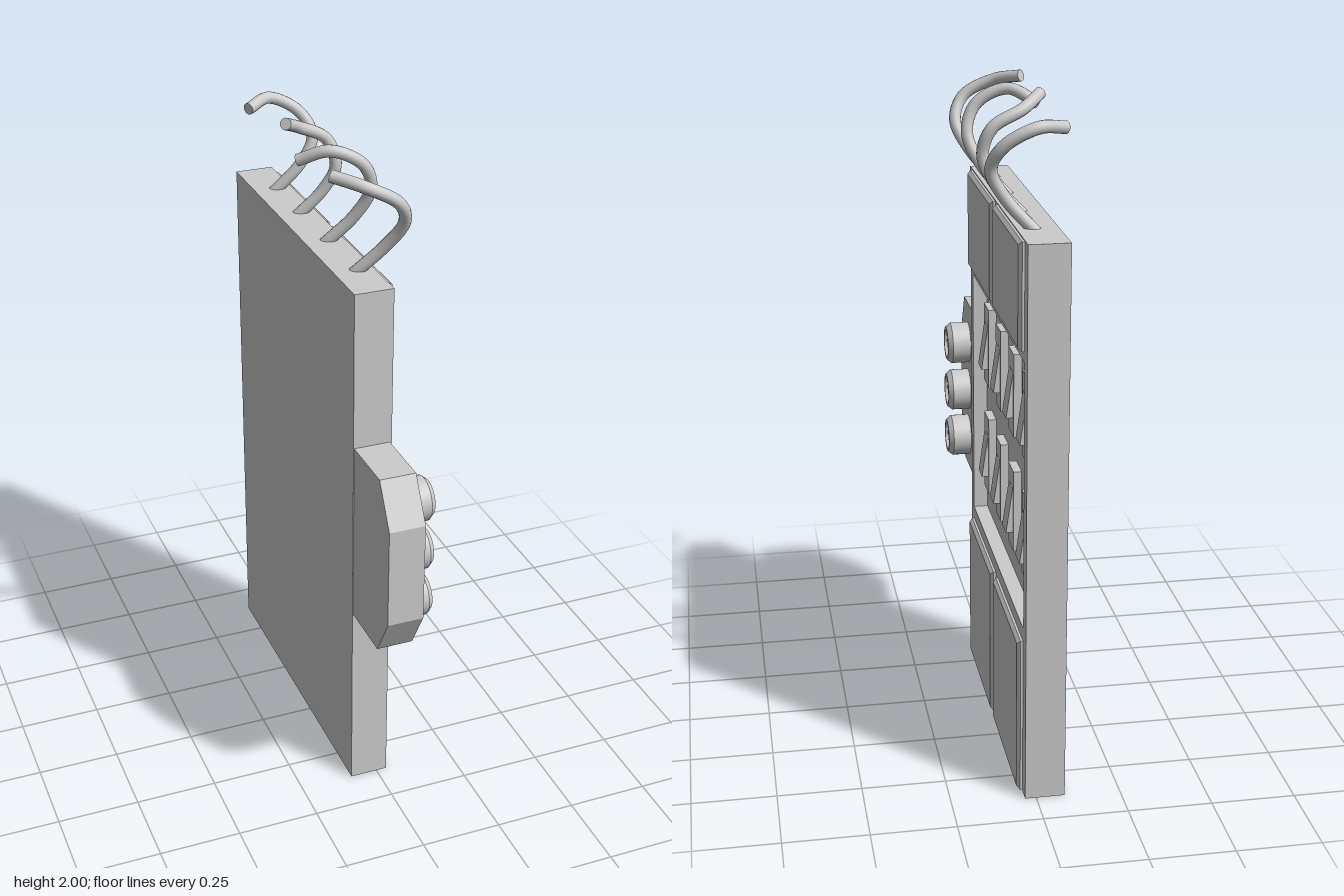
import * as THREE from 'three';
import { toCreasedNormals } from 'three/addons/utils/BufferGeometryUtils.js';

const material = new THREE.MeshStandardMaterial({ color: 0xcccccc });

// outline given as [z, y] pairs; the extrusion runs along +x
const outline = (pts, Type = THREE.Shape) => new Type(pts.map(([z, y]) => new THREE.Vector2(-z, y)));
const rect = (z0, z1, y0, y1) => [[z1, y0], [z0, y0], [z0, y1], [z1, y1]];

function slab(shape, x0, x1, bevel = 0) {
  const g = new THREE.ExtrudeGeometry(shape, {
    depth: x1 - x0 - bevel, steps: 1, bevelEnabled: bevel > 0,
    bevelSize: bevel, bevelOffset: -bevel, bevelThickness: bevel, bevelSegments: 1,
  });
  return g.rotateY(Math.PI / 2).translate(x0, 0, 0);
}

export function createModel() {
  const model = new THREE.Group();
  const add = (name, geometry, parent = model) => {
    const mesh = new THREE.Mesh(geometry, material);
    mesh.name = name;
    parent.add(mesh);
    return mesh;
  };
  const BACK = -0.085, FLOOR = -0.012, FACE = 0.033;

  // board: solid back plus a frame around the recess
  add('boardBack', slab(outline(rect(-0.635, 0.375, 0, 1.67)), BACK, FLOOR));
  const frame = outline(rect(-0.635, 0.375, 0, 1.67));
  frame.holes.push(outline(rect(-0.59, 0.33, 0.53, 1.33), THREE.Path));
  add('boardFrame', slab(frame, FLOOR, FACE));

  // raised cover panels with a small chamfer
  for (const [z0, z1] of [[-0.11, 0.33], [-0.59, -0.15]]) {
    for (const [y0, y1] of [[0.003, 0.49], [1.36, 1.667]]) {
      add('coverPanel', slab(outline(rect(z0, z1, y0, y1)), 0.025, 0.05, 0.01));
    }
  }

  // two rows of rocker switches inside the recess
  const wedge = new THREE.BoxGeometry(0.03, 0.14, 0.068);
  const p = wedge.attributes.position;
  for (let i = 0; i < p.count; i++) {
    if (p.getX(i) > 0 && p.getY(i) > 0) p.setX(i, -0.005); // upper end pressed in
  }
  wedge.computeVertexNormals();
  for (const y of [1.135, 0.773]) {
    for (let i = 0; i < 4; i++) {
      const unit = new THREE.Group();
      unit.name = 'switch';
      unit.position.set(0, y, 0.193 - i * 0.228);
      add('switchBase', new THREE.BoxGeometry(0.035, 0.254, 0.09), unit).position.x = -0.005;
      add('switchRocker', wedge, unit).position.x = 0.018;
      model.add(unit);
    }
  }

  // side housing with cut corners
  add('sideHousing', slab(outline([
    [0.37, 0.62], [0.37, 1.19], [0.565, 1.19], [0.64, 1.06], [0.64, 0.75], [0.565, 0.62],
  ].reverse()), -0.083, 0.027));

  // round buttons: chamfered rim, sunken dish and centre pin
  const profile = [[0.067, 0], [0.067, 0.058], [0.054, 0.073], [0.045, 0.073],
    [0.04, 0.055], [0.024, 0.055], [0.024, 0.066], [0, 0.066]];
  const button = toCreasedNormals(
    new THREE.LatheGeometry(profile.map(([r, h]) => new THREE.Vector2(r, h)), 32), 0.5);
  button.rotateZ(-Math.PI / 2);
  for (const y of [0.73, 0.892, 1.055]) add('button', button).position.set(0.027, y, 0.488);

  // loose wires curling out of the top edge
  const wires = [
    [[-0.03, 1.65, 0.21], [0.055, 1.75, 0.26], [0.09, 1.83, 0.305], [0.06, 1.9, 0.335], [-0.03, 1.95, 0.315], [-0.105, 1.97, 0.25]],
    [[-0.03, 1.65, -0.02], [0.055, 1.75, 0.025], [0.09, 1.84, 0.06], [0.06, 1.92, 0.075], [-0.03, 1.965, 0.055], [-0.11, 1.93, 0.0]],
    [[-0.03, 1.65, -0.25], [0.05, 1.74, -0.22], [0.085, 1.82, -0.203], [0.06, 1.9, -0.215], [-0.03, 1.95, -0.205], [-0.09, 1.985, -0.15]],
    [[-0.03, 1.65, -0.46], [0.06, 1.75, -0.435], [0.1, 1.83, -0.44], [0.07, 1.9, -0.475], [-0.02, 1.95, -0.49], [-0.105, 1.94, -0.44]],
  ];
  const R = 0.018;
  for (const pts of wires) {
    const path = new THREE.CatmullRomCurve3(pts.map((v) => new THREE.Vector3(...v)));
    add('wire', new THREE.TubeGeometry(path, 40, R, 14));
    const cap = add('wireEnd', new THREE.CircleGeometry(R, 14));
    const end = path.getPoint(1);
    cap.position.copy(end);
    cap.lookAt(end.add(path.getTangent(1)));
  }
  return model;
}
